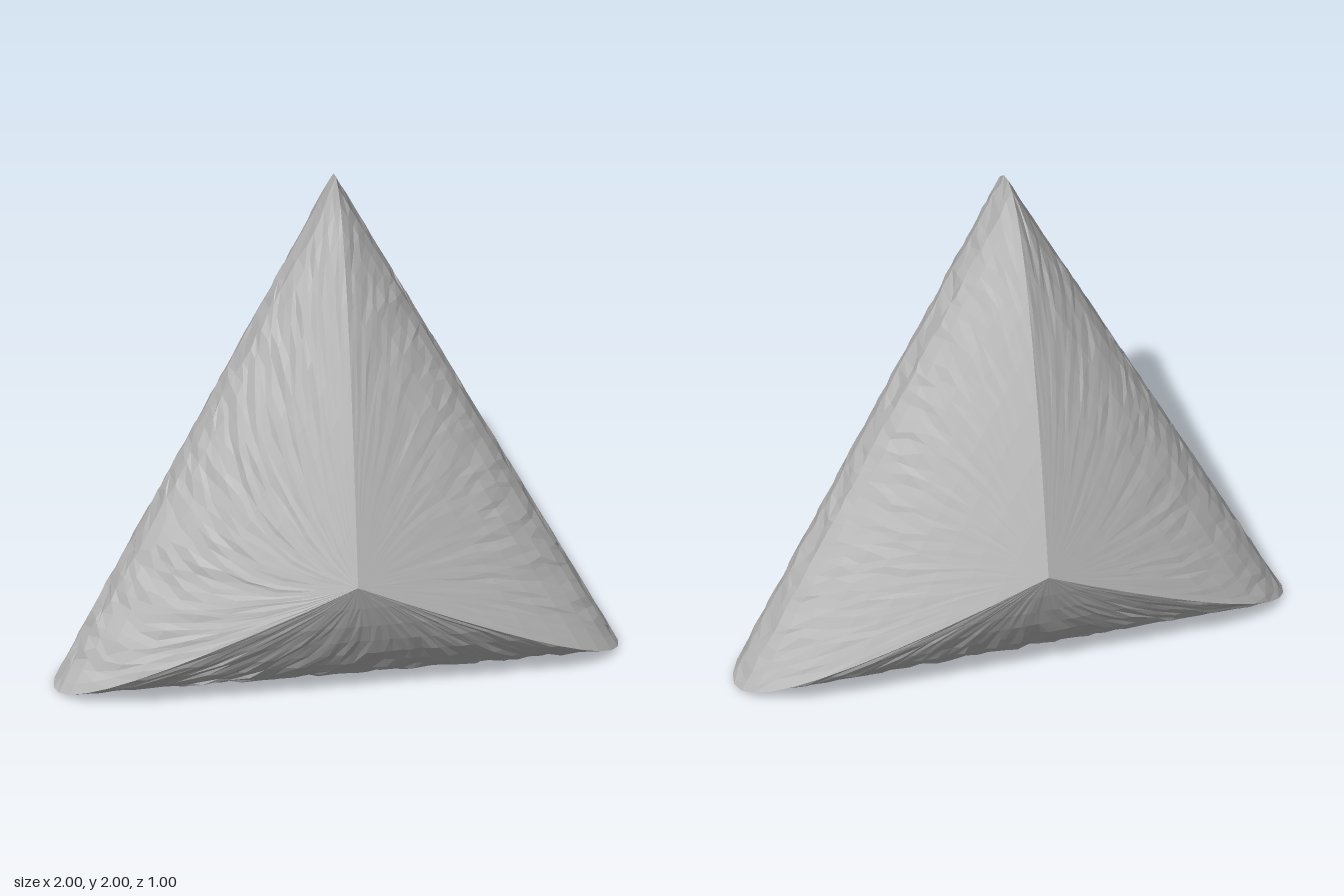
import * as THREE from 'three';

// Pillow-like triangular stone: height follows the square root of the distance to the rim.
const CORNERS = [[-1, 0], [1, 0], [0, 2]];
const CENTRE = [0, 0.614];
const DEPTH = 0.5;
const COLS = 44;
const ROWS = 10;

// Repeatable noise in -1..1, so that front and back share the same rim
function noise(a, b, c) {
  const s = Math.sin(a * 127.1 + b * 311.7 + c * 74.7 + 5.3) * 43758.5453;
  return (s - Math.floor(s)) * 2 - 1;
}

// One curved facet between a rim edge and the central peak
function facetGeometry(side, dir, rough) {
  const a = CORNERS[side], b = CORNERS[(side + 1) % 3];

  function point(i, j) {
    const v = j / ROWS;
    const atEnd = i === 0 || i === COLS;
    const seed = side + (j === 0 ? 0 : dir * 7 + 20);
    let u = i / COLS, t = v * v, z = dir * DEPTH * v;
    if (!atEnd && j < ROWS) {
      const fade = Math.pow(1 - v, 2);
      u += noise(i, j, seed) * 0.3 / COLS;
      u += rough * 0.3 * u * (1 - u) * t; // slanted chips
      if (j === 0) {
        t += 0.012 * (1 + noise(i, 3, seed));
        z += 0.035 * noise(i, 9, seed); // ragged rim
      } else {
        z += dir * noise(i, j + 40, seed) * (0.012 * fade + 0.009 * rough * (1 - v));
      }
    }
    const x = a[0] + (b[0] - a[0]) * u, y = a[1] + (b[1] - a[1]) * u;
    return [x + (CENTRE[0] - x) * t, y + (CENTRE[1] - y) * t, z];
  }

  const positions = [];
  const triangle = (p, q, r) => positions.push(...p, ...(dir > 0 ? q : r), ...(dir > 0 ? r : q));
  for (let j = 0; j < ROWS; j++) {
    for (let i = 0; i < COLS; i++) {
      const p = point(i, j), q = point(i + 1, j);
      const r = point(i + 1, j + 1), s = point(i, j + 1);
      triangle(p, q, r);
      if (j < ROWS - 1) triangle(p, r, s);
    }
  }
  const geometry = new THREE.BufferGeometry();
  geometry.setAttribute('position', new THREE.Float32BufferAttribute(positions, 3));
  geometry.computeVertexNormals();
  return geometry;
}

export function createModel() {
  const group = new THREE.Group();
  group.name = 'triangularStone';
  const stone = new THREE.MeshStandardMaterial({ color: 0xc0c0c0, flatShading: true });
  stone.name = 'grey stone';

  const sides = ['Bottom', 'Left', 'Right'];
  for (const [dir, face] of [[1, 'front'], [-1, 'back']]) {
    sides.forEach((name, side) => {
      // The underside and the front right facet are the most chipped
      const rough = side === 0 || (side === 2 && dir > 0) ? 1 : 0;
      const mesh = new THREE.Mesh(facetGeometry(side, dir, rough), stone);
      mesh.name = face + name + 'Facet';
      group.add(mesh);
    });
  }
  return group;
}
